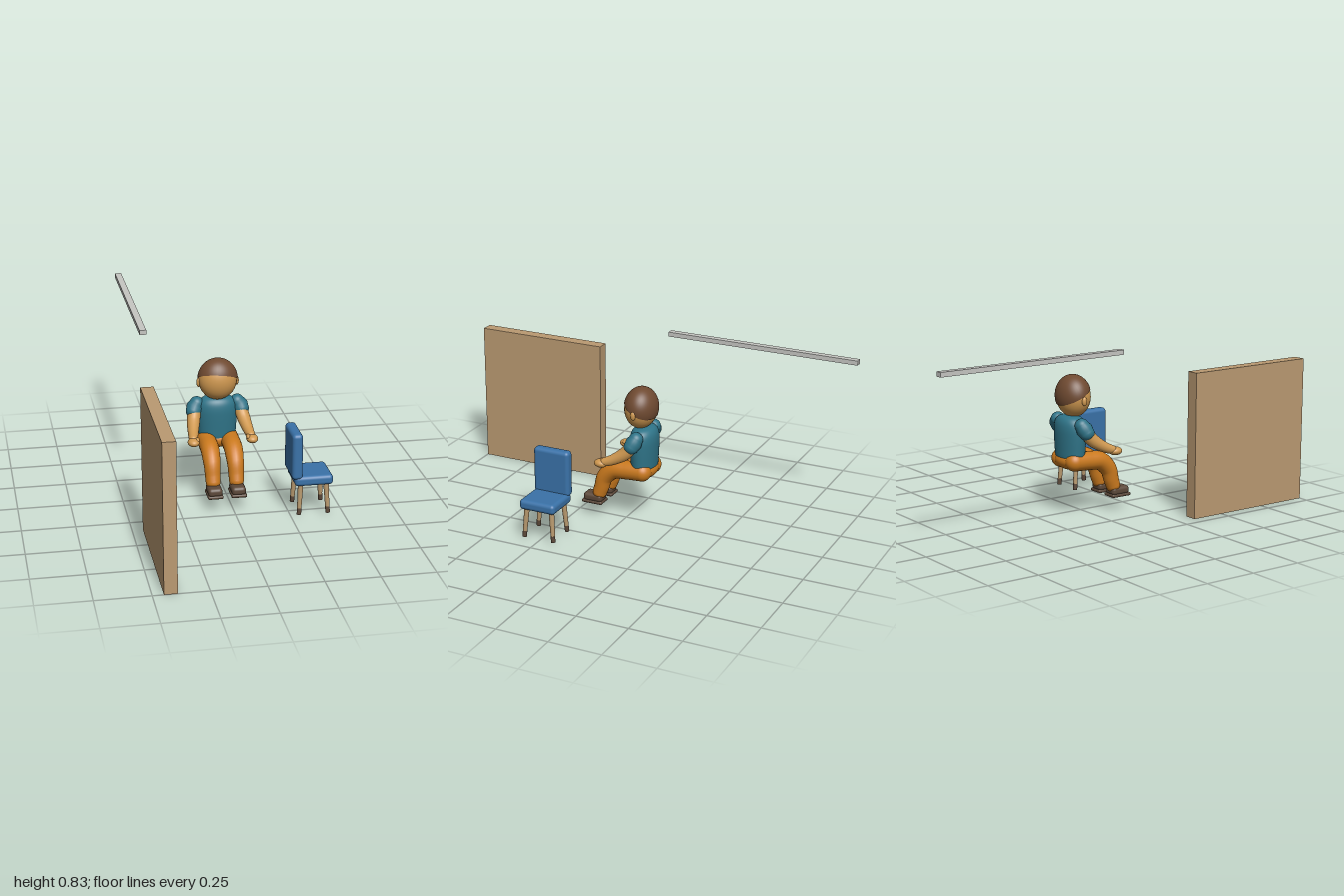
import * as THREE from 'three';
import { RoundedBoxGeometry } from 'three/addons/geometries/RoundedBoxGeometry.js';

const mat = (name, color) => new THREE.MeshStandardMaterial({ name, color });
const V = (x, y, z) => new THREE.Vector3(x, y, z);

function add(parent, name, geometry, material, x = 0, y = 0, z = 0) {
  const mesh = new THREE.Mesh(geometry, material);
  mesh.name = name;
  mesh.position.set(x, y, z);
  parent.add(mesh);
  return mesh;
}

function ellipsoid(parent, name, material, centre, radii) {
  const mesh = add(parent, name, new THREE.SphereGeometry(1, 32, 20), material, ...centre);
  mesh.scale.set(...radii);
  return mesh;
}

// Tapered round tube along a smooth path, with domed ends
function limb(parent, name, material, points, radii) {
  const group = new THREE.Group();
  group.name = name;
  parent.add(group);
  const curve = new THREE.CatmullRomCurve3(points.map((p) => V(...p)));
  const segs = 24, sides = 20;
  const geo = new THREE.TubeGeometry(curve, segs, 1, sides);
  const pos = geo.attributes.position, nor = geo.attributes.normal;
  for (let i = 0; i <= segs; i++) {
    const u = i / segs, c = curve.getPointAt(u);
    const t = u * (radii.length - 1), k = Math.min(Math.floor(t), radii.length - 2);
    const r = THREE.MathUtils.lerp(radii[k], radii[k + 1], t - k);
    for (let j = 0; j <= sides; j++) {
      const n = i * (sides + 1) + j;
      pos.setXYZ(n, c.x + nor.getX(n) * r, c.y + nor.getY(n) * r, c.z + nor.getZ(n) * r);
    }
  }
  add(group, name + 'Tube', geo, material);
  [0, points.length - 1].forEach((i) => {
    const r = i ? radii[radii.length - 1] : radii[0];
    ellipsoid(group, name + 'End', material, points[i], [r, r, r]);
  });
}

// Straight tapered rod between two points
function rod(parent, name, material, a, b, ra, rb) {
  const dir = b.clone().sub(a);
  const mid = a.clone().add(b).multiplyScalar(0.5);
  const mesh = add(parent, name, new THREE.CylinderGeometry(rb, ra, dir.length(), 16), material, mid.x, mid.y, mid.z);
  mesh.quaternion.setFromUnitVectors(V(0, 1, 0), dir.normalize());
}

export function createModel() {
  const wood = mat('panelWood', 0xba9a72);
  const metal = mat('paleGrey', 0xc6c6c2);
  const skin = mat('skin', 0xcf9850);
  const hair = mat('hairBrown', 0x6f4a31);
  const shirt = mat('shirtTeal', 0x2f7488);
  const pants = mat('pantsOrange', 0xcb7a1e);
  const shoe = mat('shoeBrown', 0x5c4839);
  const blue = mat('chairBlue', 0x3a72a8);
  const legWood = mat('chairLegWood', 0xb8996e);

  const model = new THREE.Group();
  model.name = 'seatedFigureScene';

  // Upright panel and floating beam
  add(model, 'panel', new THREE.BoxGeometry(0.06, 0.695, 0.665), wood, -0.42, 0.3475, 0.6675);
  add(model, 'beam', new THREE.BoxGeometry(0.032, 0.022, 0.955), metal, -0.384, 0.824, -0.5225);

  // Seated figure
  const figure = new THREE.Group();
  figure.name = 'figure';
  figure.position.x = -0.03;
  model.add(figure);

  // Torso and pelvis
  const profile = [[0, 0.26], [0.075, 0.262], [0.088, 0.28], [0.092, 0.32], [0.096, 0.38], [0.096, 0.42],
    [0.088, 0.45], [0.068, 0.47], [0.035, 0.478], [0, 0.48]];
  const spline = new THREE.SplineCurve(profile.map(([x, y]) => new THREE.Vector2(x, y)));
  const outline = spline.getPoints(36).map((p) => p.set(Math.max(p.x, 0), p.y));
  const torso = add(figure, 'torso', new THREE.LatheGeometry(outline, 36), shirt, 0, 0, -0.082);
  torso.scale.z = 0.66;
  ellipsoid(figure, 'pelvis', pants, [0, 0.264, -0.083], [0.093, 0.046, 0.063]);

  // Head, ears and swept hair cap
  ellipsoid(figure, 'head', skin, [0, 0.567, -0.063], [0.092, 0.099, 0.077]);
  const hairHolder = new THREE.Group();
  hairHolder.name = 'hair';
  hairHolder.position.set(0, 0.569, -0.064);
  hairHolder.scale.set(0.096, 0.101, 0.081);
  figure.add(hairHolder);
  const capMat = hair;
  capMat.side = THREE.DoubleSide;
  const cap = add(hairHolder, 'hairCap', new THREE.SphereGeometry(1, 40, 20, 0, Math.PI * 2, 0, Math.PI / 2), capMat);
  cap.rotation.set(-0.4, 0, -0.1);

  for (const s of [-1, 1]) {
    const side = s > 0 ? 'left' : 'right';
    ellipsoid(figure, side + 'Ear', skin, [s * 0.092, 0.555, -0.064], [0.01, 0.022, 0.013]);

    // Sleeve, forearm and hand
    limb(figure, side + 'Sleeve', shirt,
      [[s * 0.098, 0.443, -0.083], [s * 0.108, 0.428, -0.077], [s * 0.116, 0.41, -0.068]], [0.034, 0.04, 0.036]);
    limb(figure, side + 'Arm', skin,
      [[s * 0.113, 0.405, -0.065], [s * 0.122, 0.37, -0.035], [s * 0.132, 0.335, 0.02], [s * 0.138, 0.318, 0.062]],
      [0.032, 0.031, 0.026, 0.021]);
    ellipsoid(figure, side + 'Hand', skin, [s * 0.14, 0.31, 0.08], [0.028, 0.02, 0.034]);
    ellipsoid(figure, side + 'Thumb', skin, [s * 0.122, 0.32, 0.077], [0.011, 0.011, 0.02]);

    // Bent leg
    const x = s * 0.056;
    limb(figure, side + 'Leg', pants,
      [[x, 0.264, -0.095], [x, 0.26, -0.02], [x, 0.25, 0.05], [x, 0.205, 0.1], [x, 0.15, 0.118], [x, 0.122, 0.128]],
      [0.045, 0.045, 0.045, 0.043, 0.038, 0.035]);

    // Shoe upper and sole
    add(figure, side + 'Shoe', new RoundedBoxGeometry(0.068, 0.042, 0.098, 4, 0.017), shoe, x, 0.094, 0.156);
    add(figure, side + 'Sole', new RoundedBoxGeometry(0.074, 0.016, 0.106, 3, 0.007), shoe, x, 0.073, 0.157);
  }

  // Padded chair
  const chair = new THREE.Group();
  chair.name = 'chair';
  chair.position.set(0.355, 0, 0.247);
  model.add(chair);
  add(chair, 'chairSeat', new RoundedBoxGeometry(0.182, 0.049, 0.184, 4, 0.018), blue, 0, 0.18, 0);
  add(chair, 'chairBack', new RoundedBoxGeometry(0.05, 0.225, 0.184, 4, 0.018), blue, -0.08, 0.302, 0);

  // Splayed chair legs with dark feet
  for (const sx of [-1, 1]) for (const sz of [-1, 1]) {
    const top = V(sx * 0.06, 0.165, sz * 0.064);
    const foot = V(sx * 0.069, 0.012, sz * 0.076);
    const joint = foot.clone().lerp(top, 0.2);
    rod(chair, 'chairLeg', legWood, joint, top, 0.0105, 0.013);
    rod(chair, 'chairFoot', shoe, foot, joint, 0.0105, 0.0108);
  }
  return model;
}
